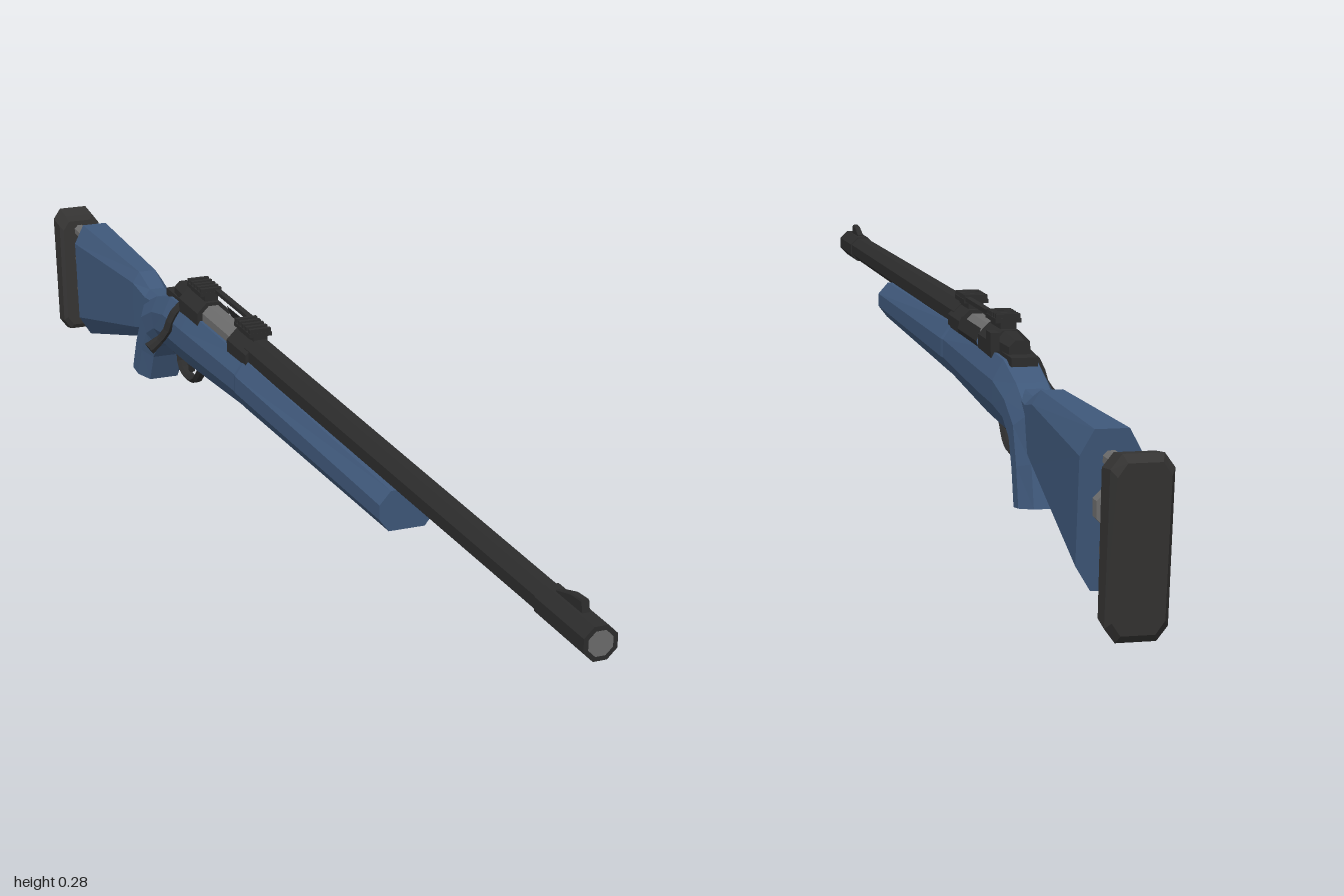
import * as THREE from 'three';

const mat = (name, color, side = THREE.FrontSide) => {
  const m = new THREE.MeshStandardMaterial({ color, side, flatShading: true });
  m.name = name;
  return m;
};

export function createModel() {
  const blue = mat('stock blue', 0x3f587a);
  const black = mat('gun metal', 0x2c2c2c, THREE.DoubleSide);
  const rubber = mat('rubber', 0x353433);
  const steel = mat('bare steel', 0x6c6c6c);

  const root = new THREE.Group();
  root.name = 'rifle';
  const body = new THREE.Group();
  body.name = 'body';
  body.position.x = 0.015;
  root.add(body);

  const add = (name, geo, material, x = 0, y = 0, z = 0) => {
    const m = new THREE.Mesh(geo, material);
    m.name = name;
    m.position.set(x, y, z);
    body.add(m);
    return m;
  };
  const box = (name, material, w, h, d, x, y, z) =>
    add(name, new THREE.BoxGeometry(w, h, d), material, x, y, z);

  // Cylinder lying along z from z0 (front) back to z1
  const rod = (name, material, rFront, rBack, z0, z1, y, x = 0, sides = 8) => {
    const g = new THREE.CylinderGeometry(rFront, rBack, z0 - z1, sides);
    g.rotateY(Math.PI / sides).rotateX(Math.PI / 2);
    return add(name, g, material, x, y, (z0 + z1) / 2);
  };

  // Chamfered loft. Station: [topZ, topY, bottomZ, bottomY, halfWidth]
  const loft = (stations, topFactor, bottomFactor, cut) => {
    const section = [[-bottomFactor, 0], [bottomFactor, 0], [1, cut], [1, 1 - cut],
      [topFactor, 1], [-topFactor, 1], [-1, 1 - cut], [-1, cut]];
    const rings = stations.map(([tz, ty, bz, by, hw]) =>
      section.map(([u, t]) => [u * hw, by + (ty - by) * t, bz + (tz - bz) * t]));
    const pos = [];
    const tri = (a, b, c) => pos.push(...a, ...b, ...c);
    const n = section.length;
    for (let i = 0; i < rings.length - 1; i++) {
      for (let k = 0; k < n; k++) {
        const j = (k + 1) % n, r = rings[i], s = rings[i + 1];
        tri(r[k], s[k], s[j]);
        tri(r[k], s[j], r[j]);
      }
    }
    const first = rings[0], last = rings[rings.length - 1];
    for (let k = 1; k < n - 1; k++) {
      tri(first[0], first[k], first[k + 1]);
      tri(last[0], last[k + 1], last[k]);
    }
    const g = new THREE.BufferGeometry();
    g.setAttribute('position', new THREE.Float32BufferAttribute(pos, 3));
    g.computeVertexNormals();
    return g;
  };

  // Fore-end, wrist and pistol grip in one sweep
  add('foreStockAndGrip', loft([
    [0.48, 0.235, 0.48, 0.178, 0.04],
    [-0.05, 0.24, -0.05, 0.167, 0.04],
    [-0.06, 0.24, -0.06, 0.166, 0.038],
    [-0.30, 0.238, -0.30, 0.151, 0.038],
    [-0.39, 0.236, -0.38, 0.148, 0.037],
    [-0.46, 0.215, -0.43, 0.146, 0.035],
    [-0.525, 0.185, -0.455, 0.13, 0.035],
    [-0.55, 0.125, -0.475, 0.105, 0.036],
    [-0.567, 0.07, -0.492, 0.06, 0.037],
  ], 0.6, 0.65, 0.32), blue);

  // Butt, slim at the wrist and wide at the rear
  add('butt', loft([
    [-0.44, 0.21, -0.44, 0.16, 0.02],
    [-0.52, 0.208, -0.50, 0.135, 0.023],
    [-0.57, 0.224, -0.57, 0.11, 0.026],
    [-0.86, 0.226, -0.837, 0.03, 0.038],
  ], 0.55, 0.5, 0.16), blue);

  // Adjustable butt pad on its posts
  add('buttPad', loft([
    [-0.948, 0.208, -0.934, 0.016, 0.031],
    [-0.953, 0.217, -0.938, 0.008, 0.037],
    [-0.99, 0.222, -0.965, 0.002, 0.037],
    [-1.0, 0.213, -0.975, 0.012, 0.031],
  ], 0.65, 0.65, 0.08), rubber);
  for (const y of [0.19, 0.08]) rod('buttPost', steel, 0.011, 0.011, -0.83, -0.955, y);
  rod('adjusterScrew', steel, 0.012, 0.012, -0.83, -0.955, 0.137);
  rod('adjusterWheel', steel, 0.027, 0.027, -0.867, -0.885, 0.137);

  // Barrel, muzzle and front sight
  rod('barrel', black, 0.021, 0.024, 0.9, -0.06, 0.248);
  rod('muzzle', black, 0.0235, 0.0235, 1.0, 0.88, 0.248);
  rod('bore', steel, 0.017, 0.017, 1.0005, 0.995, 0.248);
  add('frontSight', loft([
    [0.96, 0.285, 0.965, 0.262, 0.005],
    [0.935, 0.283, 0.935, 0.262, 0.005],
    [0.90, 0.272, 0.90, 0.262, 0.005],
  ], 0.8, 1, 0.1), black);

  // Receiver with an open ejection port over the bolt
  rod('receiverRing', black, 0.029, 0.029, -0.04, -0.12, 0.24);
  rod('receiverBridge', black, 0.029, 0.029, -0.25, -0.335, 0.24);
  const wall = new THREE.CylinderGeometry(0.029, 0.029, 0.13, 5, 1, true, -Math.PI / 3, Math.PI * 1.05);
  wall.rotateX(Math.PI / 2);
  add('receiverWall', wall, black, 0, 0.24, -0.185);
  rod('bolt', steel, 0.02, 0.02, -0.11, -0.26, 0.243);
  rod('boltShroud', black, 0.022, 0.016, -0.33, -0.39, 0.246);
  box('safetyLever', black, 0.012, 0.025, 0.03, 0.027, 0.255, -0.345);
  box('receiverTang', black, 0.036, 0.012, 0.08, 0, 0.236, -0.38);

  // Bolt handle on the right-hand side
  const handlePath = new THREE.CatmullRomCurve3([
    new THREE.Vector3(-0.012, 0.245, -0.34), new THREE.Vector3(-0.036, 0.222, -0.34),
    new THREE.Vector3(-0.046, 0.192, -0.345), new THREE.Vector3(-0.062, 0.174, -0.35)]);
  add('boltHandle', new THREE.TubeGeometry(handlePath, 6, 0.007, 6), black);
  const knob = add('boltKnob', new THREE.CylinderGeometry(0.008, 0.011, 0.022, 8), black, -0.064, 0.173, -0.35);
  knob.rotation.z = -0.95;

  // Two toothed scope mounts joined by a thin bar
  for (const z of [-0.08, -0.29]) {
    box('mountBase', black, 0.022, 0.018, 0.064, 0, 0.269, z);
    box('mountRail', black, 0.036, 0.006, 0.064, 0, 0.278, z);
    for (let i = -2; i <= 2; i++) box('mountTooth', black, 0.034, 0.007, 0.007, 0, 0.2835, z + i * 0.014);
  }
  box('mountBar', black, 0.009, 0.006, 0.16, 0.011, 0.281, -0.185);

  // Floor plate, trigger and guard
  const plate = box('floorPlate', black, 0.036, 0.008, 0.3, 0, 0.154, -0.245);
  plate.rotation.x = -0.06;
  const guardPath = new THREE.CatmullRomCurve3([[0.155, -0.285], [0.135, -0.305], [0.112, -0.33],
    [0.106, -0.37], [0.118, -0.395], [0.15, -0.4]].map(([y, z]) => new THREE.Vector3(0, y, z)));
  const guard = new THREE.TubeGeometry(guardPath, 12, 0.006, 6);
  guard.scale(1.6, 1, 1);
  add('triggerGuard', guard, black);
  const trigger = box('trigger', black, 0.008, 0.034, 0.008, 0, 0.135, -0.35);
  trigger.rotation.x = 0.25;

  // Sling stud under the fore-end
  add('slingStud', new THREE.CylinderGeometry(0.006, 0.009, 0.018, 6), black, 0, 0.17, 0.355);

  return root;
}
